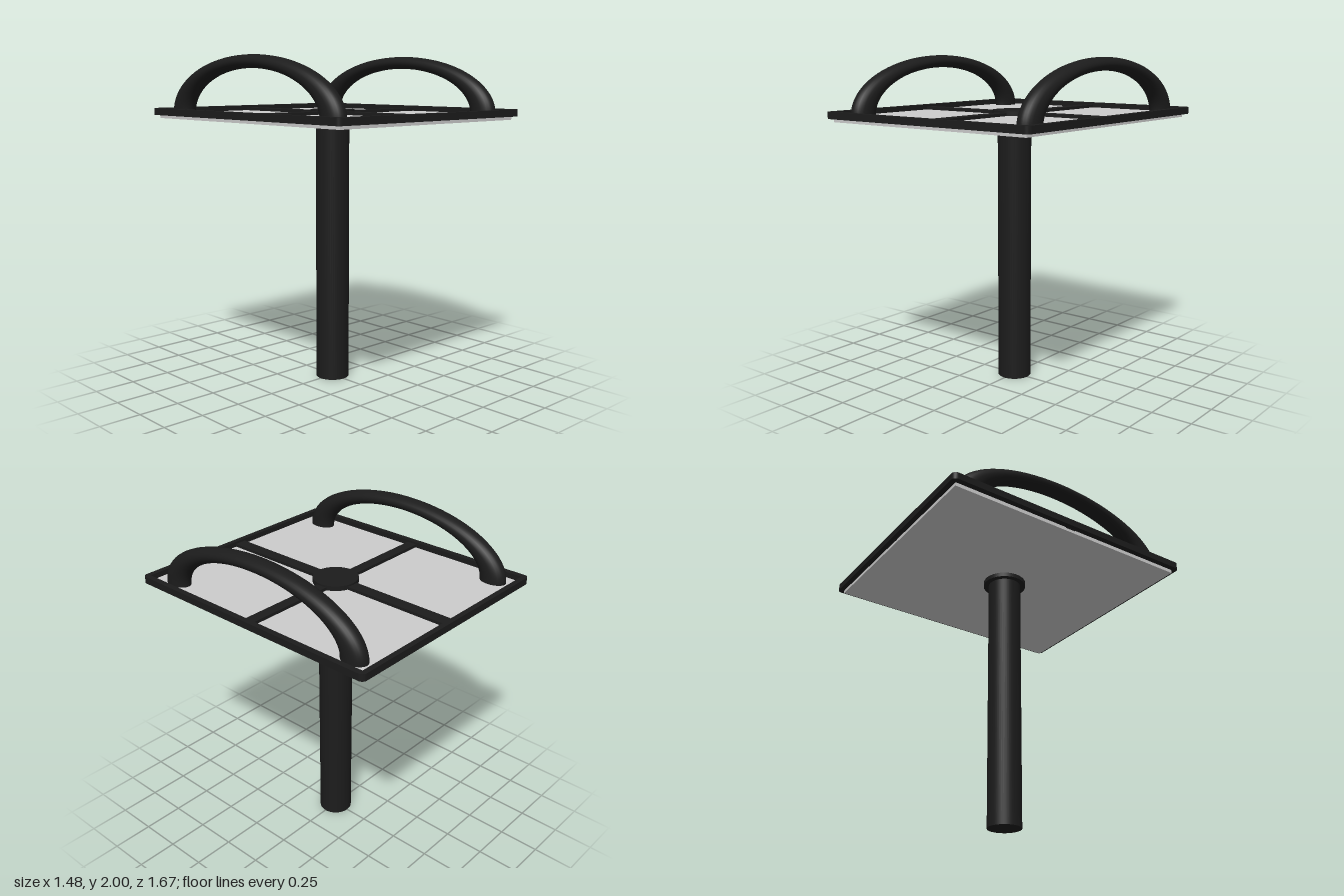
import * as THREE from 'three';

const dark = new THREE.MeshStandardMaterial({ color: 0x1c1c1c });
const grey = new THREE.MeshStandardMaterial({ color: 0xcccccc });

function add(parent, name, geometry, material, x = 0, y = 0, z = 0) {
  const mesh = new THREE.Mesh(geometry, material);
  mesh.name = name;
  mesh.position.set(x, y, z);
  parent.add(mesh);
  return mesh;
}

// Rounded rectangle outline, w and d are half sizes
function roundedRect(target, w, d, r) {
  target.moveTo(w, -d + r);
  target.lineTo(w, d - r);
  target.absarc(w - r, d - r, r, 0, Math.PI / 2);
  target.absarc(-w + r, d - r, r, Math.PI / 2, Math.PI);
  target.absarc(-w + r, -d + r, r, Math.PI, Math.PI * 1.5);
  target.absarc(w - r, -d + r, r, Math.PI * 1.5, Math.PI * 2);
  return target;
}

export function createModel() {
  const model = new THREE.Group();
  model.name = 'pedestalTable';

  // Post and the hub that carries the table top
  add(model, 'post', new THREE.CylinderGeometry(0.102, 0.102, 1.6, 48), dark, 0, 0.8, 0);
  add(model, 'hub', new THREE.CylinderGeometry(0.134, 0.134, 0.085, 48), dark, 0, 1.6385, 0);

  // Thin panel with a raised rim around it
  add(model, 'panel', new THREE.BoxGeometry(1.41, 0.03, 1.61), grey, 0, 1.637, 0);
  const rim = roundedRect(new THREE.Shape(), 0.742, 0.837, 0.03);
  rim.holes.push(roundedRect(new THREE.Path(), 0.708, 0.805, 0.003));
  const rimGeometry = new THREE.ExtrudeGeometry(rim, { depth: 0.042, bevelEnabled: false, curveSegments: 8 });
  rimGeometry.rotateX(-Math.PI / 2);
  add(model, 'rim', rimGeometry, dark, 0, 1.642, 0);

  // Crossing bars on the panel
  add(model, 'longBar', new THREE.BoxGeometry(0.074, 0.03, 1.63), dark, 0.003, 1.655, 0);
  add(model, 'crossBar', new THREE.BoxGeometry(1.43, 0.03, 0.066), dark, 0, 1.655, -0.01);

  // Arched handles: half rings stretched along the sides
  for (const [name, x] of [['rightHandle', -0.612], ['leftHandle', 0.617]]) {
    const arch = new THREE.TorusGeometry(1, 0.124, 24, 64, Math.PI);
    arch.scale(0.669, 0.307, 0.058 / 0.124);
    arch.rotateY(Math.PI / 2);
    const handle = new THREE.Group();
    handle.name = name;
    handle.position.set(x, 1.655, -0.008);
    add(handle, 'arch', arch, dark);
    // Closed feet
    for (const side of [-1, 1]) {
      const foot = new THREE.CylinderGeometry(1, 1, 0.012, 24);
      foot.scale(0.058, 1, 0.083);
      add(handle, 'foot', foot, dark, 0, 0, side * 0.669);
    }
    model.add(handle);
  }
  return model;
}
